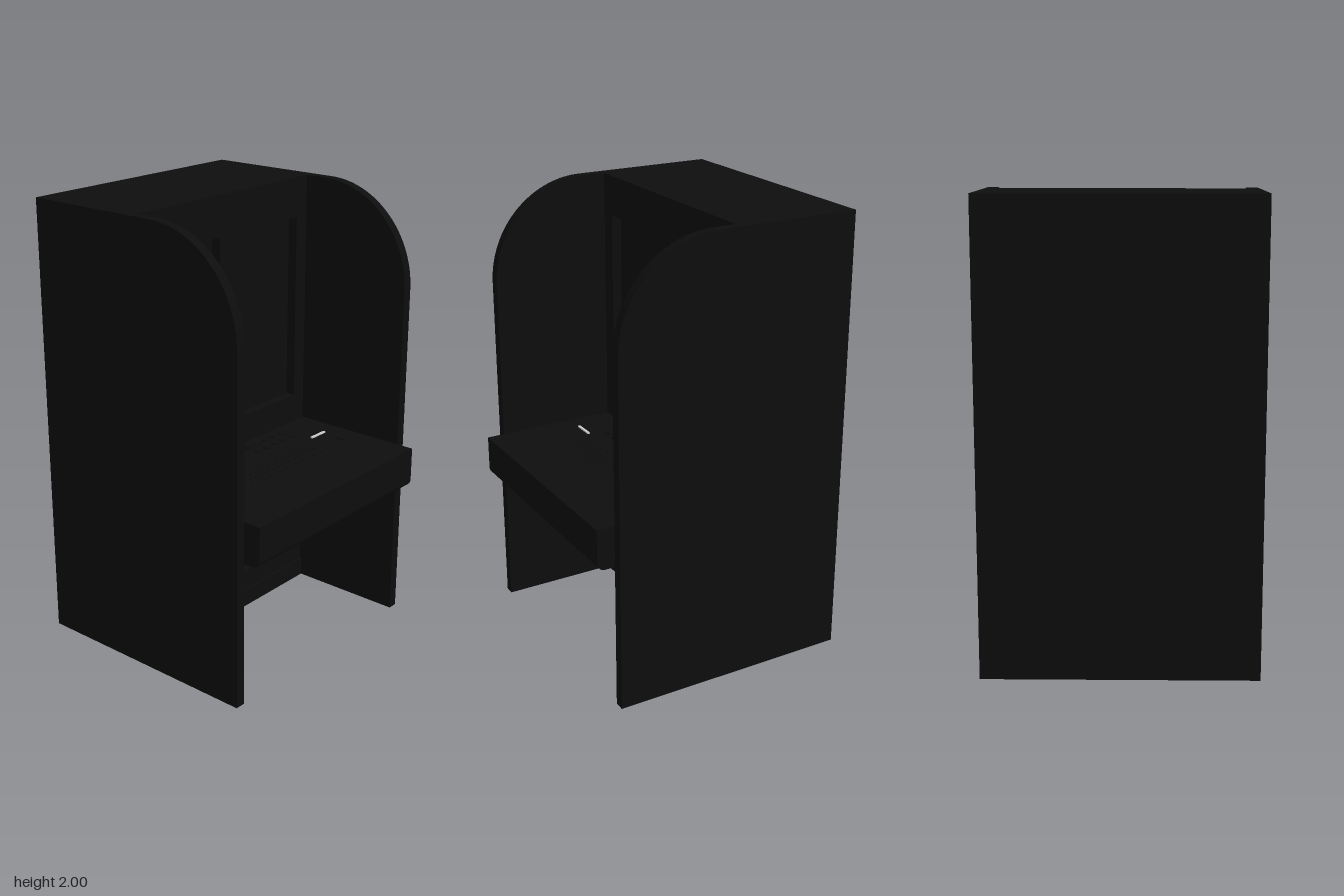
import * as THREE from 'three';

const black = new THREE.MeshStandardMaterial({ color: 0x0d0d0d });
const silver = new THREE.MeshStandardMaterial({ color: 0xcccccc });

const W = 0.585;      // half width
const T = 0.045;      // side panel thickness
const IN = W - T;     // half width inside the panels
const FACE = -0.04;   // z of the cabinet face
const DESK = 0.84;    // height of the desk top

export function createModel() {
  const root = new THREE.Group();
  root.name = 'booth';

  function add(name, geometry, x = 0, y = 0, z = 0, material = black, parent = root) {
    const mesh = new THREE.Mesh(geometry, material);
    mesh.name = name;
    mesh.position.set(x, y, z);
    parent.add(mesh);
    return mesh;
  }
  // Box given by its limits
  function box(name, x0, x1, y0, y1, z0, z1, material = black) {
    return add(name, new THREE.BoxGeometry(x1 - x0, y1 - y0, z1 - z0),
      (x0 + x1) / 2, (y0 + y1) / 2, (z0 + z1) / 2, material);
  }
  function rect(path, x0, x1, y0, y1) {
    path.moveTo(x0, y0);
    path.lineTo(x1, y0);
    path.lineTo(x1, y1);
    path.lineTo(x0, y1);
    path.closePath();
    return path;
  }
  // Extrude a (z, y) profile across x, centred on x
  function sideways(shape, width) {
    const g = new THREE.ExtrudeGeometry(shape, { depth: width, bevelEnabled: false, curveSegments: 24 });
    g.translate(0, 0, -width / 2);
    g.rotateY(-Math.PI / 2);
    return g;
  }

  // Side panels with a rounded upper front corner
  const side = new THREE.Shape();
  side.moveTo(-0.585, 0);
  side.lineTo(0.505, 0);
  side.lineTo(0.505, 1.56);
  side.absarc(0.065, 1.56, 0.44, 0, Math.PI / 2, false);
  side.lineTo(-0.585, 2);
  side.closePath();
  const sideGeometry = sideways(side, T);
  add('rightSidePanel', sideGeometry, -W + T / 2);
  add('leftSidePanel', sideGeometry, W - T / 2);

  // Hollow cabinet: back, roof and framed face
  box('backPanel', -IN, IN, 0, 2, -0.585, -0.565);
  box('roof', -IN, IN, 1.97, 2, -0.565, FACE);

  const frame = rect(new THREE.Shape(), -IN, IN, 0, 1.97);
  const openings = [
    [-0.47, -0.055, 0.97, 1.82],
    [0.055, 0.47, 0.97, 1.82],
    [-0.4, 0.4, 0.18, 0.6],
  ];
  openings.forEach(o => frame.holes.push(rect(new THREE.Path(), ...o)));
  add('faceFrame', new THREE.ExtrudeGeometry(frame, { depth: 0.045, bevelEnabled: false }), 0, 0, FACE - 0.045);

  // Sunken panels behind the openings
  openings.forEach(([x0, x1, y0, y1], i) =>
    box(i < 2 ? 'displayPanel' : 'lowerPanel', x0 - 0.02, x1 + 0.02, y0 - 0.02, y1 + 0.02, FACE - 0.06, FACE - 0.045));
  box('skirting', -IN, IN, 0, 0.085, FACE, FACE + 0.01);

  // Desk with a rounded lower front edge
  const desk = new THREE.Shape();
  desk.moveTo(FACE, 0.655);
  desk.lineTo(0.55, 0.655);
  desk.absarc(0.55, 0.69, 0.035, -Math.PI / 2, 0, false);
  desk.lineTo(0.585, DESK);
  desk.lineTo(FACE, DESK);
  desk.closePath();
  add('desk', sideways(desk, 2 * IN));

  // Push buttons: a collar ring around a low cap
  const collar = new THREE.TorusGeometry(0.016, 0.004, 8, 24).rotateX(Math.PI / 2);
  const cap = new THREE.CylinderGeometry(0.012, 0.012, 0.006, 20);
  function button(name, x, z, size = 1) {
    const g = new THREE.Group();
    g.name = name;
    g.position.set(x, DESK, z);
    g.scale.set(size, 1, size);
    add('collar', collar, 0, 0.002, 0, black, g);
    add('cap', cap, 0, 0.003, 0, black, g);
    root.add(g);
  }
  for (const s of [-1, 1])
    for (const z of [0.018, 0.078])
      for (let i = 0; i < 5; i++) button('pushButton', s * (0.068 + 0.0595 * i), z);
  button('deskKnob', 0.437, 0.265, 1.2);

  // Rows of small studs
  const stud = new THREE.CylinderGeometry(0.004, 0.004, 0.005, 10);
  for (let i = 0; i < 9; i++) {
    const x = -0.24 + 0.0605 * i;
    for (const z of [0.185, 0.295]) add('stud', stud, x, DESK + 0.002, z);
    for (const z of [0.225, 0.25])
      for (const dx of [-0.013, 0.013]) add('stud', stud, x + dx, DESK + 0.002, z);
  }

  // Bright slot strips
  for (const s of [-1, 1])
    add('slotStrip', new THREE.BoxGeometry(0.1, 0.008, 0.012), s * 0.395, DESK + 0.002, 0.163, silver);

  return root;
}
